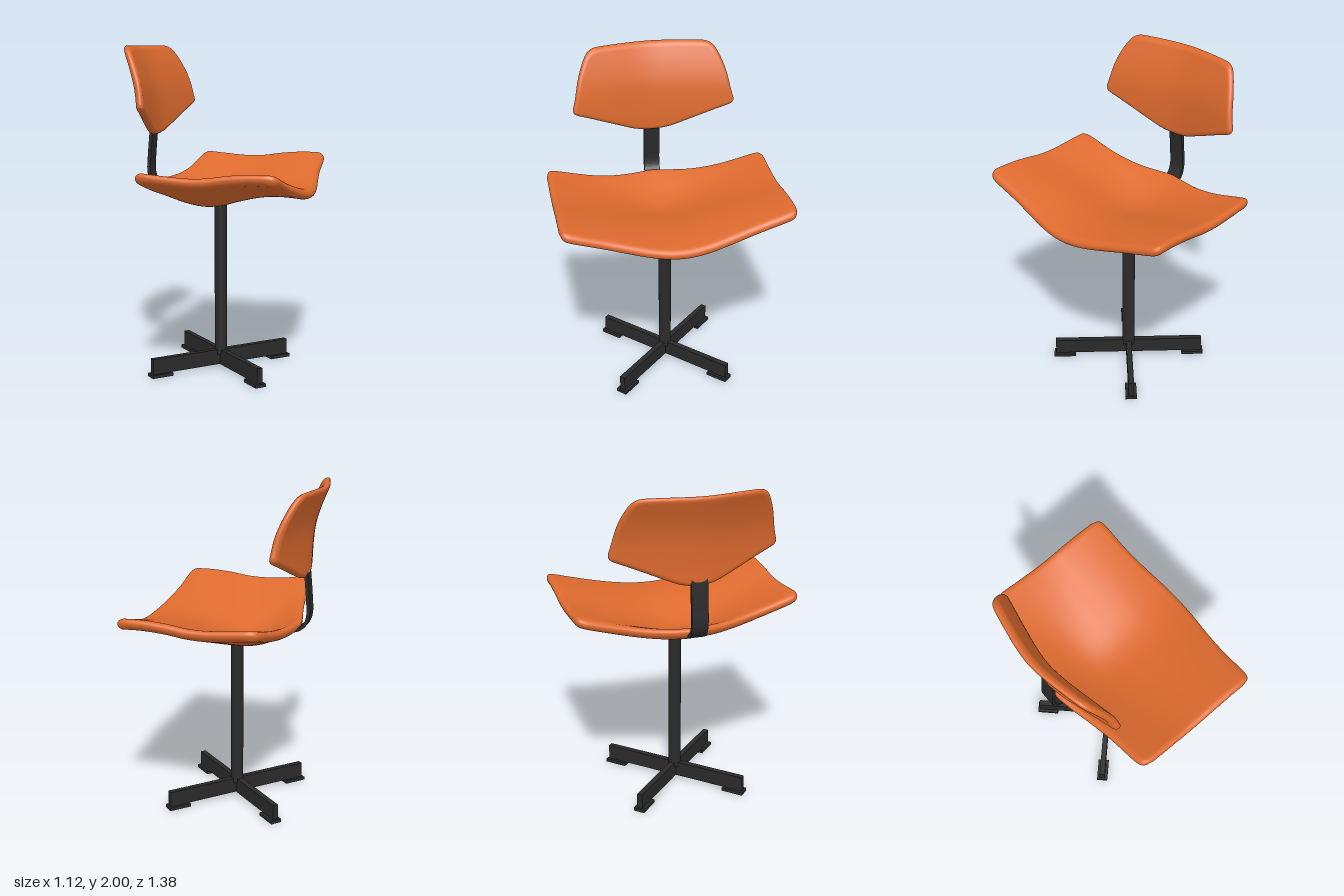
import * as THREE from 'three';
import { mergeVertices } from 'three/addons/utils/BufferGeometryUtils.js';

// smooth interpolation through [t, value] pairs
function curve(pts) {
  const slope = (i) => {
    const a = pts[Math.max(i - 1, 0)], b = pts[Math.min(i + 1, pts.length - 1)];
    return (b[1] - a[1]) / (b[0] - a[0]);
  };
  return (t) => {
    t = Math.min(Math.max(t, pts[0][0]), pts[pts.length - 1][0]);
    let i = 0;
    while (i < pts.length - 2 && t > pts[i + 1][0]) i++;
    const w = pts[i + 1][0] - pts[i][0], s = (t - pts[i][0]) / w;
    const s2 = s * s, s3 = s2 * s;
    return (2 * s3 - 3 * s2 + 1) * pts[i][1] + (s3 - 2 * s2 + s) * w * slope(i)
      + (3 * s2 - 2 * s3) * pts[i + 1][1] + (s3 - s2) * w * slope(i + 1);
  };
}

// rounded valley from 0 in the middle to 1 at the edge
const valley = (t, a) => (Math.sqrt(t * t + a * a) - a) / (Math.sqrt(1 + a * a) - a);

// padded shell: outline lo(z)..hi(z), mid surface height(c, z), soft rounded rim
function shell(zMax, lo, hi, height, half, place, flip) {
  const N = 56, pos = [], idx = [];
  const grade = (k) => Math.sin((k / N - 0.5) * Math.PI);
  const rim = (f, z) => {
    const e = 0.004, d = (f(Math.min(z + e, zMax)) - f(z - e)) / (2 * e);
    return 1 / Math.sqrt(1 + d * d);
  };
  for (const side of [1, -1]) {
    const base = pos.length / 3;
    for (let i = 0; i <= N; i++) {
      const z = zMax * grade(i), az = Math.abs(z), a = lo(az), b = hi(az);
      const ra = rim(lo, az), rb = rim(hi, az);
      for (let j = 0; j <= N; j++) {
        const c = a + (b - a) * (grade(j) + 1) / 2;
        const d = Math.max(0, Math.min((c - a) * ra, (b - c) * rb, zMax - az));
        const q = 1 - Math.min(d / (half * 1.2), 1);
        pos.push(...place(c, height(c, az) + side * half * Math.sqrt(1 - q * q), z));
      }
    }
    for (let i = 0; i < N; i++) for (let j = 0; j < N; j++) {
      const p = base + i * (N + 1) + j, r = p + N + 1;
      if ((side > 0) !== flip) idx.push(p, r, p + 1, r, r + 1, p + 1);
      else idx.push(p, p + 1, r, r, p + 1, r + 1);
    }
  }
  const g = new THREE.BufferGeometry();
  g.setAttribute('position', new THREE.Float32BufferAttribute(pos, 3));
  g.setIndex(idx);
  const merged = mergeVertices(g, 1e-5);
  merged.computeVertexNormals();
  return merged;
}

export function createModel() {
  const model = new THREE.Group();
  const orange = new THREE.MeshStandardMaterial({ color: 0xdd6a2e });
  orange.name = 'orange upholstery';
  const black = new THREE.MeshStandardMaterial({ color: 0x2a2a2b });
  black.name = 'black metal';
  const add = (name, geo, mat, parent = model) => {
    const m = new THREE.Mesh(geo, mat);
    m.name = name;
    parent.add(m);
    return m;
  };

  // seat: wide saddle with raised sides, facing +x
  const seatBack = curve([[-0.1, -0.405], [0, -0.418], [0.1, -0.405], [0.25, -0.375], [0.4, -0.352],
    [0.5, -0.345], [0.62, -0.338], [0.66, -0.328], [0.68, -0.305], [0.69, -0.26]]);
  const seatFront = curve([[-0.15, 0.552], [0, 0.562], [0.15, 0.552], [0.3, 0.53], [0.45, 0.512],
    [0.62, 0.503], [0.66, 0.495], [0.68, 0.475], [0.69, 0.43]]);
  const seatMid = curve([[-0.42, 1.165], [-0.3, 1.113], [-0.2, 1.07], [-0.1, 1.05], [0, 1.06],
    [0.1, 1.088], [0.2, 1.113], [0.3, 1.13], [0.42, 1.133], [0.56, 1.122]]);
  const seatEdge = curve([[-0.42, 1.265], [-0.3, 1.27], [-0.1, 1.255], [0, 1.25], [0.1, 1.255],
    [0.2, 1.27], [0.32, 1.281], [0.42, 1.283], [0.56, 1.275]]);
  const seatRound = curve([[-0.42, 0.5], [-0.1, 0.2], [0.1, 0.22], [0.56, 0.4]]);
  const seatHeight = (x, z) =>
    seatMid(x) + (seatEdge(x) - seatMid(x)) * valley(z / 0.69, seatRound(x));
  add('seat', shell(0.69, seatBack, seatFront, seatHeight, 0.032, (c, h, z) => [c, h, z], false), orange);

  // backrest: curved pad wrapping forward at its sides
  const restLow = curve([[-0.1, 1.47], [0, 1.458], [0.1, 1.47], [0.2, 1.508], [0.3, 1.55],
    [0.4, 1.592], [0.47, 1.62], [0.49, 1.632], [0.5, 1.648]]);
  const restHigh = curve([[-0.1, 2], [0, 2], [0.33, 2], [0.37, 1.99], [0.4, 1.965], [0.43, 1.91],
    [0.46, 1.83], [0.485, 1.72], [0.5, 1.665]]);
  const restMid = curve([[1.45, -0.438], [1.6, -0.441], [1.75, -0.457], [1.87, -0.492], [2, -0.545]]);
  const restDepth = (y, z) => restMid(y) + 0.087 * valley(z / 0.5, 0.25);
  add('backrest', shell(0.5, restLow, restHigh, restDepth, 0.024, (c, h, z) => [h, c, z], true), orange);

  // flat bent bar joining seat and backrest
  const path = new THREE.CatmullRomCurve3([[-0.445, 1.56], [-0.455, 1.45], [-0.466, 1.32], [-0.469, 1.23],
    [-0.452, 1.175], [-0.415, 1.142], [-0.36, 1.125]].map(([x, y]) => new THREE.Vector3(x, y, 0)));
  const left = [], right = [];
  for (let i = 0; i <= 32; i++) {
    const p = path.getPoint(i / 32), t = path.getTangent(i / 32);
    left.push(new THREE.Vector2(p.x - t.y * 0.01, p.y + t.x * 0.01));
    right.unshift(new THREE.Vector2(p.x + t.y * 0.01, p.y - t.x * 0.01));
  }
  const bar = new THREE.ExtrudeGeometry(new THREE.Shape([...left, ...right]),
    { depth: 0.1, bevelEnabled: false });
  add('backrestBar', bar.translate(0, 0, -0.05), black);

  // post and crossed foot
  const base = new THREE.Group();
  base.name = 'base';
  base.position.x = -0.018;
  model.add(base);
  add('post', new THREE.CylinderGeometry(0.039, 0.039, 0.965, 32).translate(0, 0.5675, 0), black, base);
  for (let i = 0; i < 4; i++) {
    const leg = new THREE.Group();
    leg.name = 'leg';
    leg.rotation.y = Math.PI / 4 + i * Math.PI / 2;
    base.add(leg);
    add('arm', new THREE.BoxGeometry(0.478, 0.095, 0.035).translate(0.239, 0.0675, 0), black, leg);
    add('footPad', new THREE.BoxGeometry(0.14, 0.02, 0.07).translate(0.42, 0.01, 0), black, leg);
  }
  return model;
}
